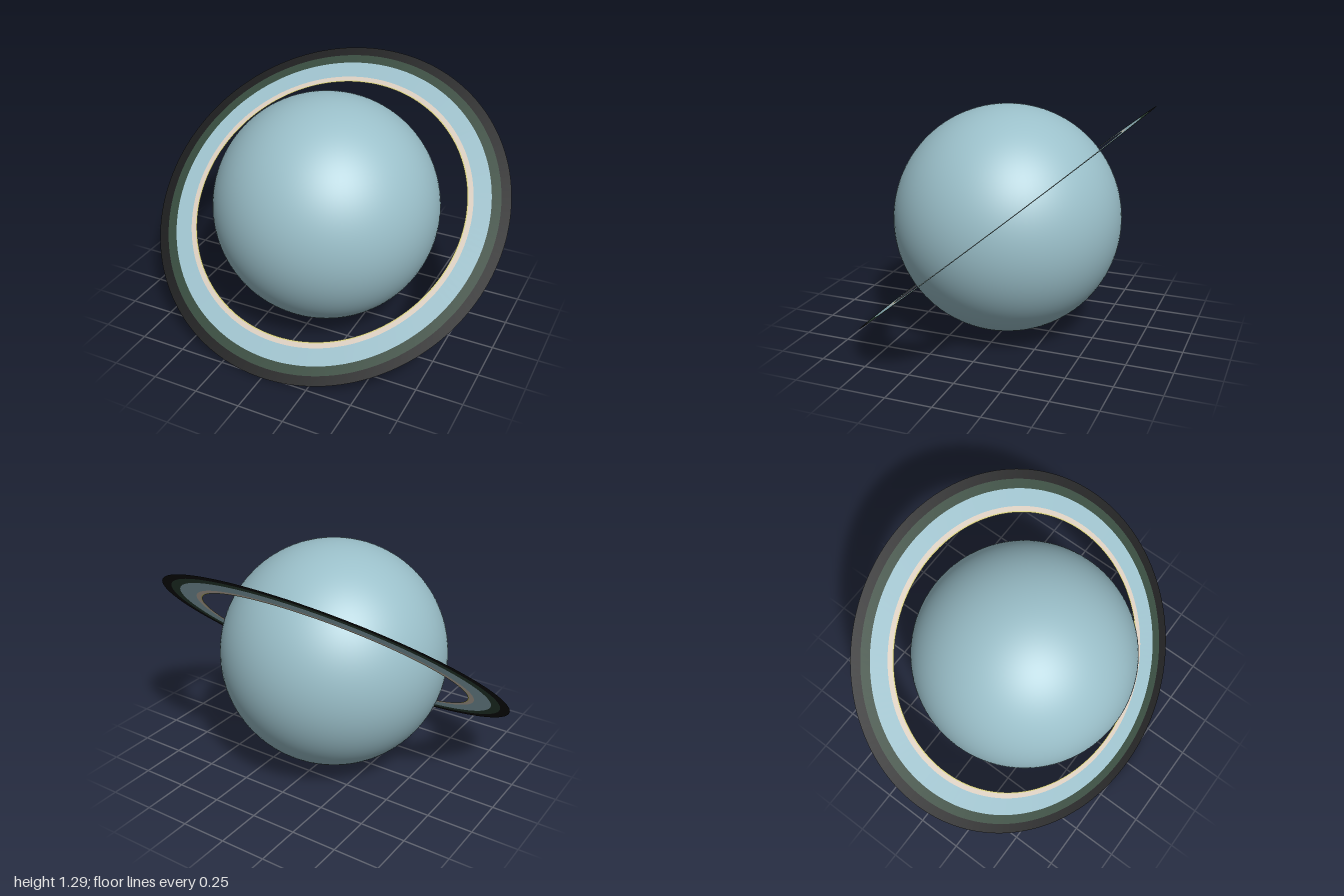
import * as THREE from 'three';

const mat = (name, color, side = THREE.FrontSide) => {
  const m = new THREE.MeshStandardMaterial({ color, side });
  m.name = name;
  return m;
};

export function createModel() {
  const model = new THREE.Group();
  model.name = 'ringedPlanet';
  const centreY = 0.643;

  // Planet body
  const planet = new THREE.Mesh(new THREE.SphereGeometry(0.622, 96, 64), mat('planetBlue', 0x9bc0ca));
  planet.name = 'planet';
  planet.position.y = centreY;
  model.add(planet);

  // Flat ring system, low at the front and high at the back
  const rings = new THREE.Group();
  rings.name = 'rings';
  rings.position.y = centreY;
  rings.rotation.x = THREE.MathUtils.degToRad(-50);
  model.add(rings);

  // Concentric bands: name, inner radius, outer radius, colour
  const bands = [
    ['yellowBand', 0.77, 0.778, 0xd2cb7c],
    ['beigeBand', 0.778, 0.804, 0xd8cbbd],
    ['blueBand', 0.804, 0.898, 0x9bbfca],
    ['greenBand', 0.898, 0.948, 0x2f4537],
    ['blackBand', 0.948, 1.0, 0x0e0f10],
  ];
  for (const [name, inner, outer, color] of bands) {
    const band = new THREE.Mesh(new THREE.RingGeometry(inner, outer, 160, 1), mat(name + 'Colour', color, THREE.DoubleSide));
    band.name = name;
    rings.add(band);
  }
  return model;
}
